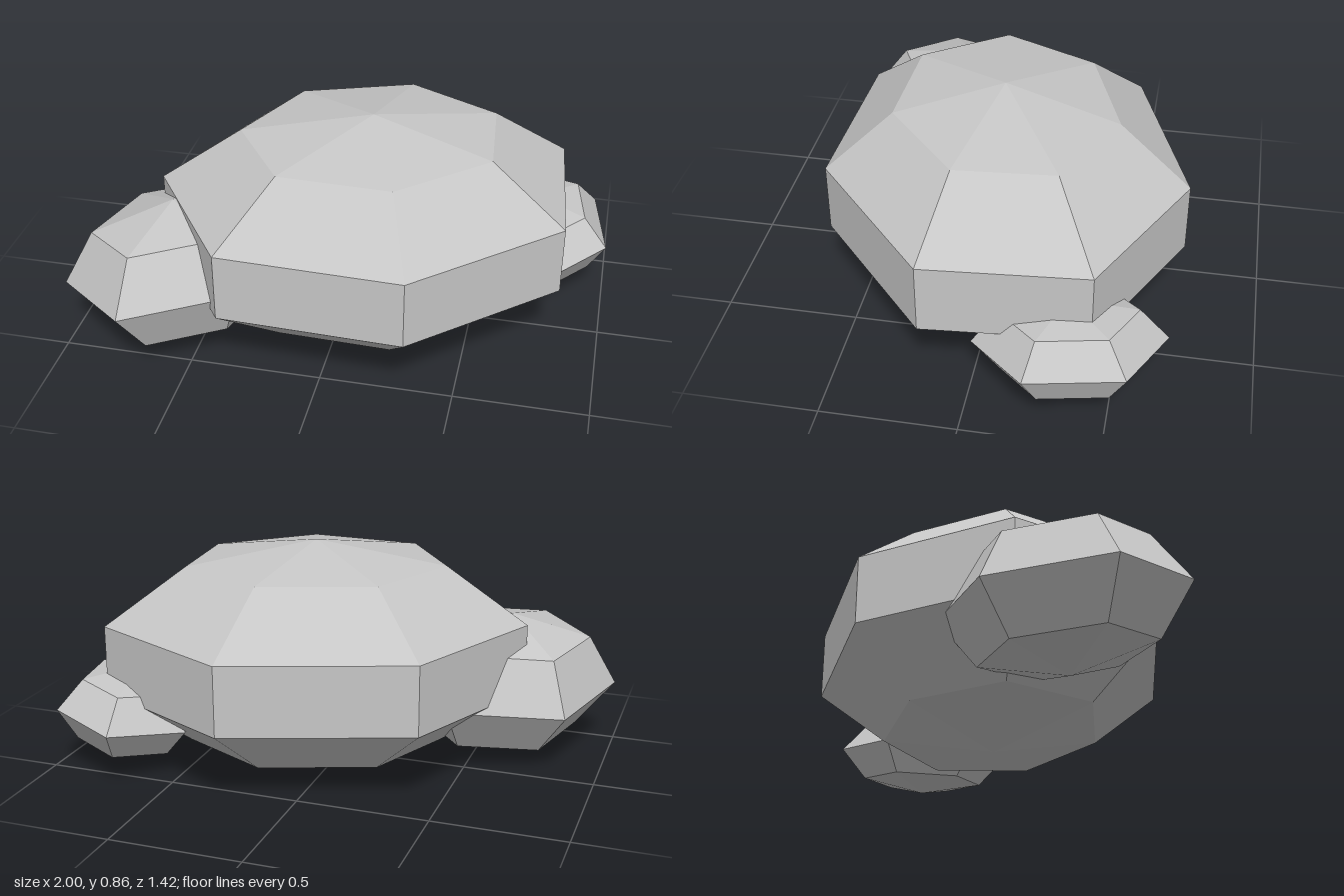
import * as THREE from 'three';

// Faceted boulder: a low-poly ball whose widest outline is given as [x, z] offsets.
// axis is the vector from the centre to the top point; outline runs from +x towards +z.
function boulder(name, material, centre, axis, outline, bands) {
  const c = new THREE.Vector3(...centre);
  const up = new THREE.Vector3(...axis);
  const n = outline.length;
  const point = (i, j) => {
    const a = (i / bands) * Math.PI; // 0 at the bottom, PI at the top
    const widest = bands % 2 ? Math.sin(Math.PI * (bands - 1) / (2 * bands)) : 1;
    const s = Math.sin(a) / widest;
    const [x, z] = outline[j % n];
    const y = -(up.x * x + up.z * z) / up.y; // keeps each ring on the tilted plane
    return new THREE.Vector3(x, y, z).multiplyScalar(s).add(c).addScaledVector(up, -Math.cos(a));
  };
  const pos = [];
  const tri = (...pts) => pts.forEach((p) => pos.push(p.x, p.y, p.z));
  for (let i = 0; i < bands; i++) {
    for (let j = 0; j < n; j++) {
      const a = point(i, j), b = point(i, j + 1);
      const d = point(i + 1, j), e = point(i + 1, j + 1);
      if (i < bands - 1) tri(a, d, e);
      if (i > 0) tri(a, e, b);
    }
  }
  const geometry = new THREE.BufferGeometry();
  geometry.setAttribute('position', new THREE.Float32BufferAttribute(pos, 3));
  geometry.computeVertexNormals();
  const mesh = new THREE.Mesh(geometry, material);
  mesh.name = name;
  return mesh;
}

export function createModel() {
  const group = new THREE.Group();
  group.name = 'rockCluster';
  const stone = new THREE.MeshStandardMaterial({ color: 0xc6c6c6, flatShading: true });
  stone.name = 'light grey stone';

  // Large seven-sided boulder in the middle
  group.add(boulder('mainBoulder', stone, [0.097, 0.43, -0.01], [0, 0.43, 0], [
    [0.745, 0.18], [0.235, 0.635], [-0.455, 0.613], [-0.8, 0.12],
    [-0.545, -0.46], [0.125, -0.70], [0.695, -0.42],
  ], 5));

  // Medium rock at the front, leaning slightly
  group.add(boulder('frontRock', stone, [-0.582, 0.295, 0.273], [-0.032, 0.265, -0.015], [
    [0.418, -0.177], [0.275, 0.25], [-0.118, 0.435],
    [-0.418, 0.177], [-0.298, -0.273], [0.11, -0.45],
  ], 4));

  // Small rock at the back
  group.add(boulder('backRock', stone, [0.726, 0.224, -0.345], [-0.021, 0.167, 0.008], [
    [0.272, 0.125], [0.055, 0.34], [-0.205, 0.225],
    [-0.272, -0.125], [-0.064, -0.345], [0.21, -0.222],
  ], 4));

  return group;
}
